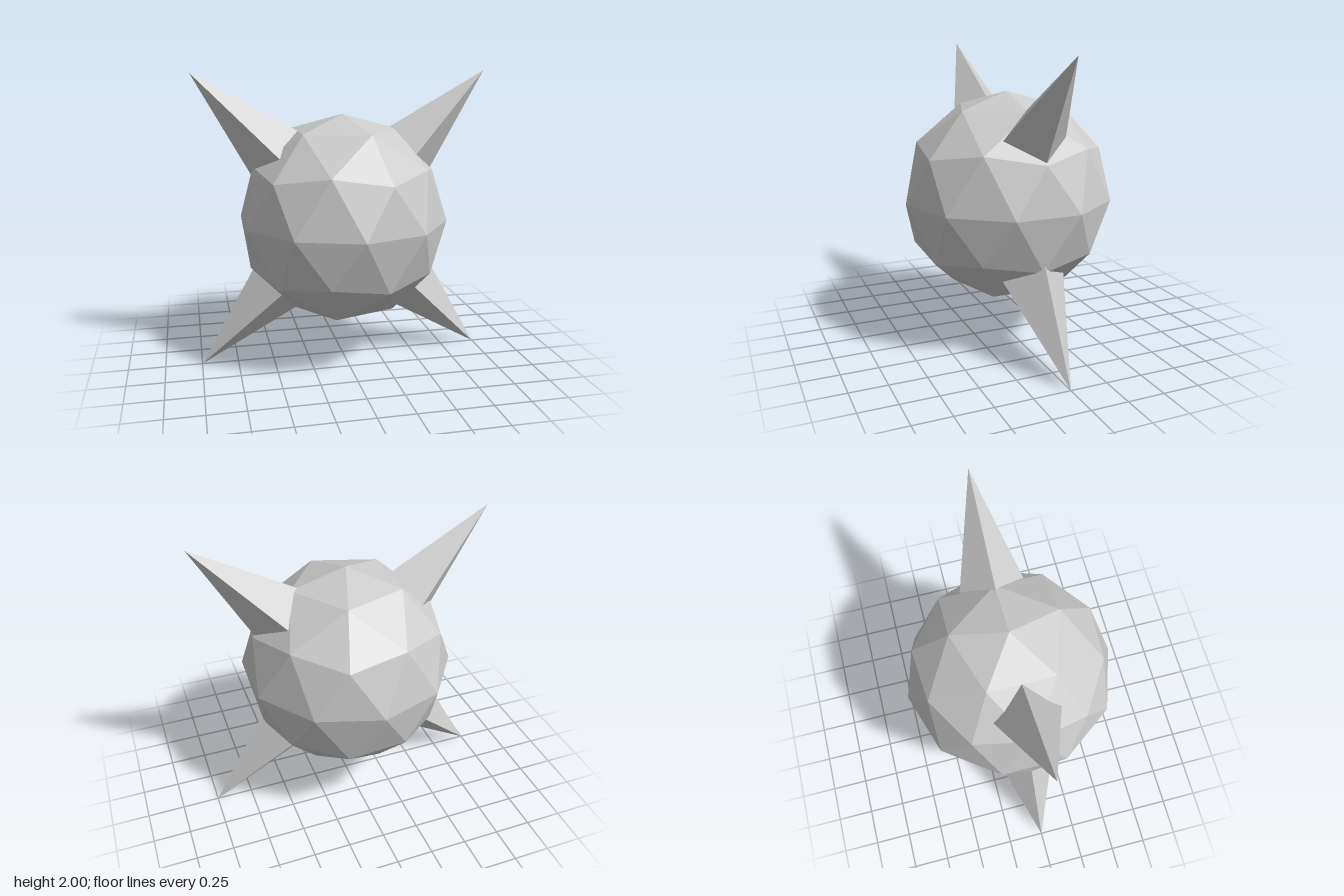
import * as THREE from 'three';

export function createModel() {
  const model = new THREE.Group();
  model.name = 'spikedBall';
  const material = new THREE.MeshStandardMaterial({ color: 0xcccccc, flatShading: true });

  // Faceted ball, turned so that a five-sided corner points straight up
  const ballGeometry = new THREE.IcosahedronGeometry(0.72, 1);
  const golden = (1 + Math.sqrt(5)) / 2;
  ballGeometry.rotateZ(-Math.atan2(1, golden));
  ballGeometry.computeVertexNormals();
  const ball = new THREE.Mesh(ballGeometry, material);
  ball.name = 'ball';
  ball.position.y = 1;
  model.add(ball);

  // Four-sided spike, its tip at the height of the model's corners
  const height = 0.9;
  const spikeGeometry = new THREE.ConeGeometry(height * 0.284, height, 4);
  spikeGeometry.translate(0, Math.SQRT2 - height / 2, 0);

  // One spike along each diagonal
  ['upperLeftSpike', 'upperRightSpike', 'lowerRightSpike', 'lowerLeftSpike'].forEach((name, i) => {
    const spike = new THREE.Mesh(spikeGeometry, material);
    spike.name = name;
    spike.position.y = 1;
    spike.rotation.z = -Math.PI / 4 + (i * Math.PI) / 2;
    model.add(spike);
  });

  return model;
}
